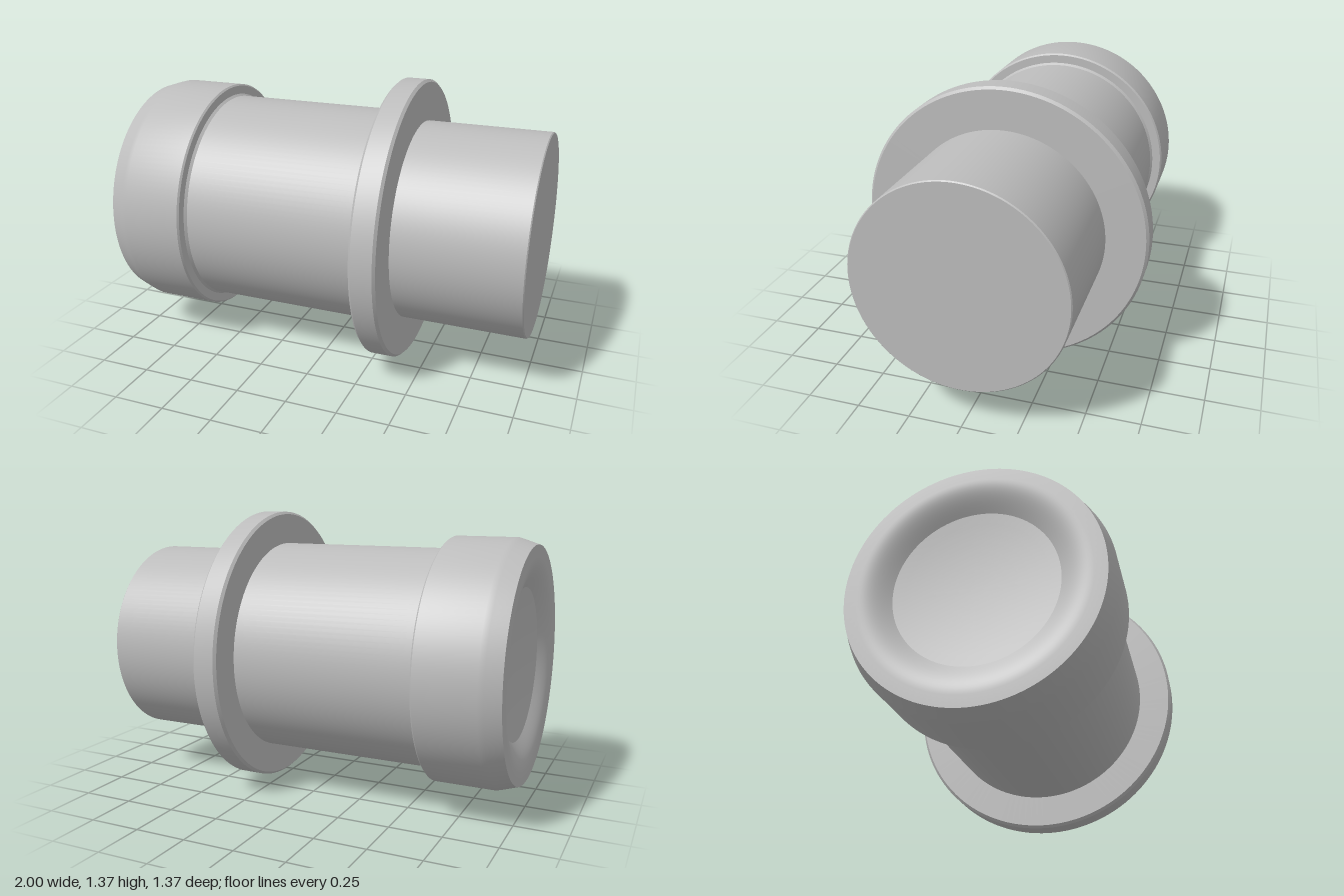
import * as THREE from 'three';
import { toCreasedNormals } from 'three/addons/utils/BufferGeometryUtils.js';

const AXIS_Y = 0.684;

export function createModel() {
  const model = new THREE.Group();
  model.name = 'flangedPlug';
  const steel = new THREE.MeshStandardMaterial({ color: 0xbcbcbc });
  steel.name = 'steelGrey';

  // Turns a profile of [x, radius] points, listed from -x to +x, about the long axis
  function turned(name, profile) {
    const points = profile.map(([x, r]) => new THREE.Vector2(r, x));
    const lathe = new THREE.LatheGeometry(points, 128);
    lathe.rotateZ(-Math.PI / 2);
    const mesh = new THREE.Mesh(toCreasedNormals(lathe, Math.PI / 6), steel);
    mesh.name = name;
    mesh.position.y = AXIS_Y;
    model.add(mesh);
  }

  // Shallow concave floor of the end recess
  const floor = [];
  for (let i = 0; i <= 8; i++) {
    const r = (0.36 * i) / 8;
    floor.push([-0.925 - 0.025 * (r / 0.36) ** 2, r]);
  }
  turned('recessFloor', floor);

  // Dished lip blending from the recess floor out to the flat rim
  const lip = [];
  for (let i = 0; i <= 10; i++) {
    const t = i / 10;
    lip.push([-0.95 - 0.05 * Math.sin((t * Math.PI) / 2), 0.36 + 0.14 * t]);
  }
  turned('recessLip', [...lip, [-1, 0.555]]);

  // Collar with a softened nose and a small edge break at its shoulder
  turned('collar', [
    [-1, 0.555], [-0.93, 0.578], [-0.905, 0.585], [-0.622, 0.585],
    [-0.614, 0.577], [-0.614, 0.5],
  ]);

  // Main barrel with a small flare where it meets the collar
  turned('barrel', [[-0.614, 0.535], [-0.602, 0.525], [0.28, 0.525]]);

  // Flange disc with chamfered edges
  turned('flange', [
    [0.276, 0.5], [0.276, 0.672], [0.288, 0.684],
    [0.388, 0.684], [0.4, 0.672], [0.4, 0.46],
  ]);

  // Spigot with a closed flat end
  turned('spigot', [[0.395, 0.487], [0.995, 0.487], [1, 0.482], [1, 0]]);

  return model;
}
